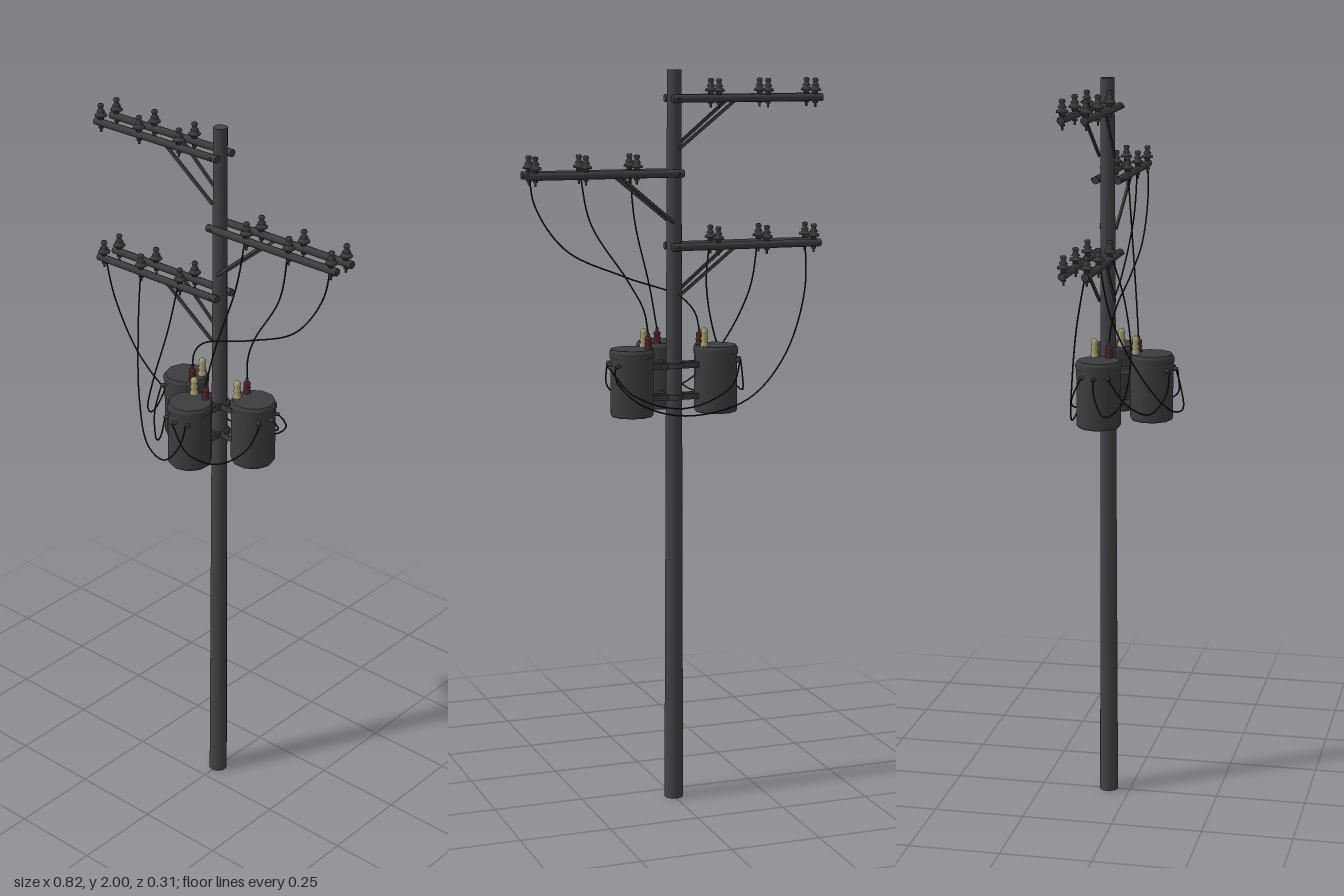
import * as THREE from 'three';

const mat = (name, color) => {
  const m = new THREE.MeshStandardMaterial({ color });
  m.name = name;
  return m;
};

export function createModel() {
  const root = new THREE.Group();
  root.name = 'utilityPole';
  const poleGrey = mat('poleGrey', 0x434346);
  const steel = mat('steel', 0x3d3d40);
  const porcelain = mat('insulatorGrey', 0x3a3a3e);
  const cream = mat('creamCeramic', 0xa8a274);
  const maroon = mat('maroonCeramic', 0x4e2226);
  const wireBlack = mat('wireBlack', 0x1d1d1f);

  const POLE_Z = -0.06, ARM_OFFSET = 0.03;
  const v = (x, y, z) => new THREE.Vector3(x, y, z);

  const add = (parent, name, geo, material, x = 0, y = 0, z = 0) => {
    const mesh = new THREE.Mesh(geo, material);
    mesh.name = name;
    mesh.position.set(x, y, z);
    parent.add(mesh);
    return mesh;
  };
  const lathe = (pts, sides) => new THREE.LatheGeometry(pts.map(p => new THREE.Vector2(...p)), sides);
  // Square bar between two points
  const bar = (parent, name, a, b, w, d) => {
    const m = add(parent, name, new THREE.BoxGeometry(w, a.distanceTo(b), d), steel);
    m.position.copy(a).lerp(b, 0.5);
    m.quaternion.setFromUnitVectors(v(0, 1, 0), b.clone().sub(a).normalize());
  };

  // Tapered pole
  add(root, 'pole', new THREE.CylinderGeometry(0.019, 0.026, 2, 10), poleGrey, 0, 1, POLE_Z);

  // Pin insulator: two skirts and a grooved head, on a bolt through the arm
  const insulatorGeo = lathe([[0, 0], [0.008, 0], [0.008, 0.007], [0.017, 0.009], [0.015, 0.015],
    [0.007, 0.018], [0.012, 0.022], [0.007, 0.028], [0.006, 0.032], [0.009, 0.036], [0.007, 0.042], [0, 0.043]], 8);
  const boltGeo = new THREE.CylinderGeometry(0.003, 0.003, 0.045, 6);
  const nutGeo = new THREE.CylinderGeometry(0.007, 0.007, 0.005, 6);

  // Double crossarms, alternating sides
  const armGeo = new THREE.CylinderGeometry(0.0105, 0.0105, 0.428, 8).rotateZ(Math.PI / 2);
  for (const [y, side] of [[1.925, -1], [1.73, 1], [1.535, -1]]) {
    const arm = new THREE.Group();
    arm.name = 'crossarm';
    arm.position.set(0, y, POLE_Z);
    root.add(arm);
    for (const f of [-1, 1]) {
      const z = f * ARM_OFFSET;
      add(arm, 'armBeam', armGeo, steel, side * 0.198, 0, z);
      for (const x of [0.115, 0.255, 0.392]) {
        add(arm, 'insulator', insulatorGeo, porcelain, side * x, 0.009, z);
        add(arm, 'insulatorBolt', boltGeo, steel, side * x, -0.003, z);
        add(arm, 'insulatorNut', nutGeo, steel, side * x, -0.013, z);
      }
      bar(arm, 'brace', v(side * 0.16, -0.006, z), v(side * 0.008, -0.13, f * 0.021), 0.008, 0.006);
    }
    const throughBolt = add(arm, 'throughBolt', new THREE.CylinderGeometry(0.004, 0.004, 0.09, 6), steel);
    throughBolt.rotation.x = Math.PI / 2;
  }

  // Transformers, each facing away from the pole
  const tankGeo = lathe([[0, 1.083], [0.055, 1.083], [0.06, 1.089], [0.06, 1.245]], 10);
  const lidGeo = new THREE.CylinderGeometry(0.058, 0.0625, 0.008, 10);
  const rimGeo = new THREE.CylinderGeometry(0.0625, 0.0625, 0.014, 10);
  const bushing = h => lathe([[0.011, 0], [0.011, h * 0.2], [0.008, h * 0.3], [0.011, h * 0.45],
    [0.008, h * 0.6], [0.01, h * 0.75], [0.009, h * 0.92], [0.004, h], [0, h]], 8);
  const tallBushing = bushing(0.052), shortBushing = bushing(0.036);
  const collarGeo = new THREE.CylinderGeometry(0.029, 0.029, 0.014, 10);
  const terminalGeo = new THREE.CylinderGeometry(0.005, 0.007, 0.016, 6).rotateX(Math.PI / 2);
  const TERM_Y = 1.225;
  const termZ = i => (i ? 0.17 : 0.184);

  for (const angle of [0, Math.PI / 2, -Math.PI / 2]) {
    const t = new THREE.Group();
    t.name = 'transformer';
    t.position.z = POLE_Z;
    t.rotation.y = angle;
    root.add(t);
    add(t, 'tank', tankGeo, steel, 0, 0, 0.12);
    add(t, 'lidRim', rimGeo, steel, 0, 1.25, 0.12);
    add(t, 'lid', lidGeo, steel, 0, 1.261, 0.12);
    add(t, 'creamBushing', tallBushing, cream, -0.02, 1.263, 0.08);
    add(t, 'maroonBushing', shortBushing, maroon, 0.02, 1.263, 0.08);
    add(t, 'bushingCap', new THREE.CylinderGeometry(0.004, 0.004, 0.01, 6), steel, 0.02, 1.302, 0.08);
    for (const i of [-1, 0, 1]) {
      add(t, 'terminal', terminalGeo, steel, i * 0.037, TERM_Y, termZ(i)).rotation.y = i * 0.6;
    }
    for (const y of [1.13, 1.215]) {
      for (const s of [-1, 1]) add(t, 'bracketPlate', new THREE.BoxGeometry(0.004, 0.016, 0.05), steel, s * 0.016, y, 0.043);
    }
  }
  for (const y of [1.13, 1.215]) add(root, 'collar', collarGeo, steel, 0, y, POLE_Z);

  // Wires
  const wire = (name, pts) => {
    const curve = new THREE.CatmullRomCurve3(pts.map(p => (p.isVector3 ? p : v(...p))));
    add(root, name, new THREE.TubeGeometry(curve, 40, 0.0022, 5), wireBlack);
  };
  // Terminal position: angle of the transformer, index -1..1
  const term = (angle, i) => v(i * 0.037, TERM_Y, termZ(i) + 0.008)
    .applyAxisAngle(v(0, 1, 0), angle).add(v(0, 0, POLE_Z));
  const R = Math.PI / 2, L = -Math.PI / 2;

  // Middle arm down to the maroon bushings
  wire('feedWire', [[0.392, 1.755, -0.03], [0.375, 1.65, -0.024], [0.29, 1.53, -0.022], [0.13, 1.455, -0.024],
    [-0.03, 1.395, -0.03], [-0.07, 1.35, -0.036], [-0.08, 1.305, -0.04]]);
  wire('feedWire', [[0.255, 1.755, -0.03], [0.225, 1.6, -0.035], [0.13, 1.45, -0.05], [0.09, 1.37, -0.07], [0.08, 1.305, -0.08]]);
  wire('feedWire', [[0.115, 1.755, -0.03], [0.095, 1.6, -0.015], [0.045, 1.42, 0.008], [0.02, 1.305, 0.02]]);

  // Lower arm down to the side terminals
  wire('serviceWire', [[-0.392, 1.56, -0.03], [-0.38, 1.4, -0.06], [-0.31, 1.23, -0.09], [-0.19, 1.12, -0.12],
    [0, 1.09, -0.148], [0.13, 1.13, -0.15], [0.185, 1.19, -0.12], term(R, 1)]);
  wire('serviceWire', [[-0.255, 1.56, -0.03], [-0.24, 1.4, 0], [-0.17, 1.22, 0.075], [-0.09, 1.13, 0.13],
    [-0.01, 1.12, 0.15], [0.03, 1.17, 0.135], term(0, 1)]);
  wire('serviceWire', [[-0.115, 1.56, -0.03], [-0.12, 1.42, 0.012], [-0.155, 1.27, 0.034], [-0.195, 1.16, 0.015],
    [-0.212, 1.13, -0.025], [-0.2, 1.18, -0.055], term(L, 0)]);

  // Links hanging between the transformers
  wire('linkWire', [term(L, 1), [-0.165, 1.16, 0.02], [-0.11, 1.12, 0.075], [-0.06, 1.16, 0.11], term(0, -1)]);
  wire('linkWire', [term(R, -1), [0.165, 1.16, 0.02], [0.11, 1.12, 0.075], [0.05, 1.15, 0.125], term(0, 0)]);
  wire('linkWire', [term(L, -1), [-0.14, 1.16, -0.13], [0, 1.11, -0.145], [0.14, 1.15, -0.135], term(R, 0)]);

  return root;
}
